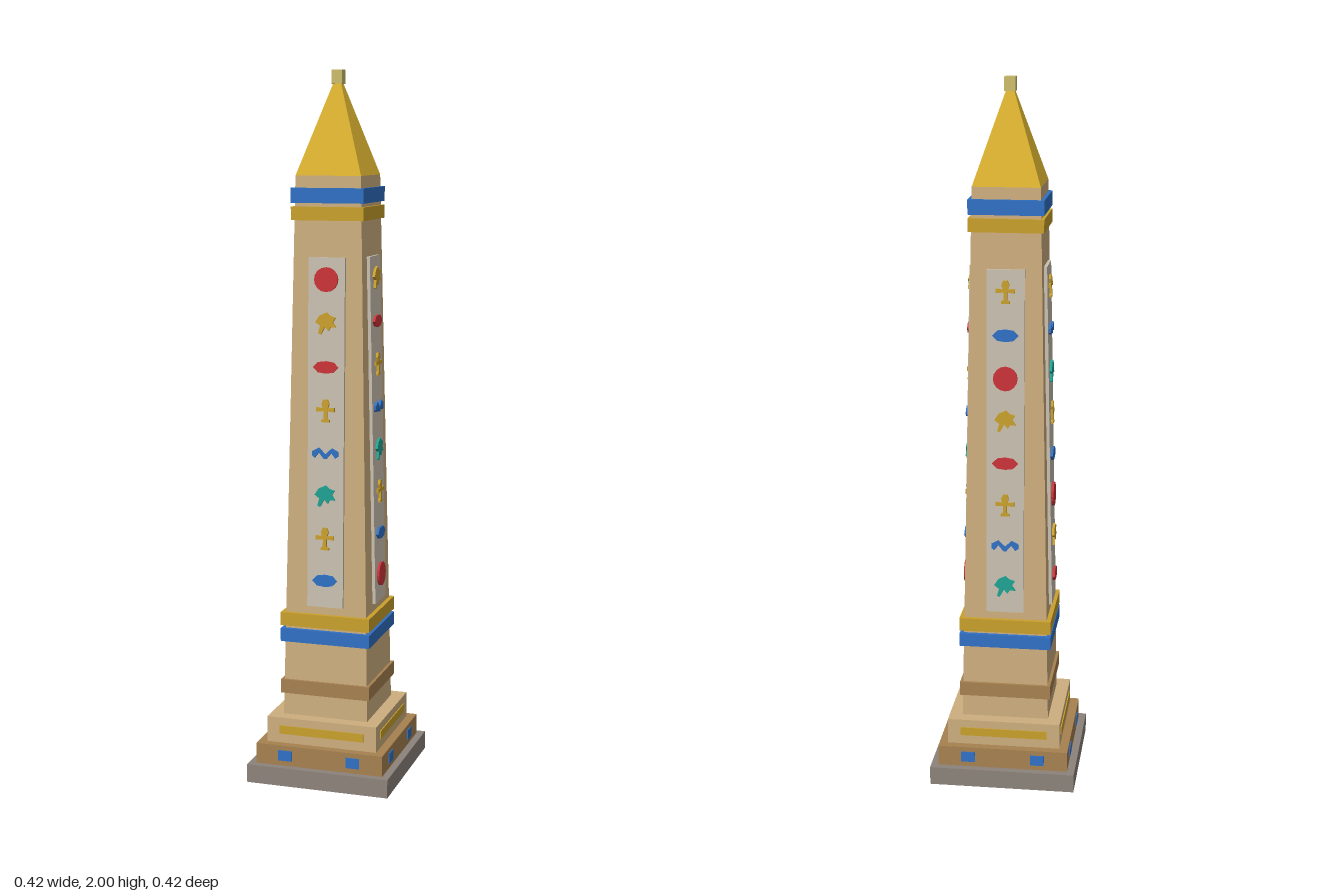
import * as THREE from 'three';

const mat = (name, color) => {
  const m = new THREE.MeshStandardMaterial({ color });
  m.name = name;
  return m;
};

export function createModel() {
  const M = {
    sandstone: mat('sandstone', 0xcdae7e),
    brown: mat('brown stone', 0xa68150),
    grey: mat('grey stone', 0x8c837b),
    panel: mat('pale panel', 0xc9c0b0),
    gold: mat('gold', 0xc9a02c),
    brightGold: mat('bright gold', 0xdab030),
    paleGold: mat('pale gold', 0xcbbd6c),
    blue: mat('blue', 0x2f70c4),
    red: mat('red', 0xc93338),
    teal: mat('teal', 0x1fa292),
  };
  const root = new THREE.Group();
  root.name = 'obelisk';

  const add = (parent, name, geo, material) => {
    const mesh = new THREE.Mesh(geo, material);
    mesh.name = name;
    parent.add(mesh);
    return mesh;
  };

  // Square block from y0 to y1
  const block = (name, half, y0, y1, material) => {
    add(root, name, new THREE.BoxGeometry(half * 2, y1 - y0, half * 2), material).position.y = (y0 + y1) / 2;
  };
  // Square tapered block
  const taper = (name, bottom, top, y0, y1, material) => {
    const g = new THREE.CylinderGeometry(top * Math.SQRT2, bottom * Math.SQRT2, y1 - y0, 4)
      .rotateY(Math.PI / 4).toNonIndexed();
    g.computeVertexNormals();
    add(root, name, g, material).position.y = (y0 + y1) / 2;
  };

  // Stepped base
  block('baseSlab', 0.208, 0, 0.053, M.grey);
  block('baseStep', 0.187, 0.053, 0.112, M.brown);
  block('plinth', 0.162, 0.112, 0.186, M.sandstone);

  // Shaft, bands and pointed cap
  const y0 = 0.186, y1 = 1.715, bottom = 0.1245, top = 0.0935;
  taper('shaft', bottom, top, y0, y1, M.sandstone);
  block('lowerCollar', 0.131, 0.25, 0.29, M.brown);
  block('lowerBlueBand', 0.131, 0.403, 0.441, M.blue);
  block('lowerGoldBand', 0.131, 0.45, 0.488, M.gold);
  block('upperGoldBand', 0.104, 1.594, 1.631, M.gold);
  block('upperBlueBand', 0.104, 1.641, 1.682, M.blue);
  taper('pyramidCap', 0.0935, 0.004, y1, 1.985, M.brightGold);
  block('tip', 0.0155, 1.962, 2, M.paleGold);

  // Glyph outlines, in thousandths of a unit
  const outline = (pts) => {
    const s = new THREE.Shape(pts.map(([x, y]) => new THREE.Vector2(x / 1000, y / 1000)));
    return new THREE.ExtrudeGeometry(s, { depth: 0.007, bevelEnabled: false });
  };
  const oval = (rx, ry, n) => outline(Array.from({ length: n }, (_, i) => {
    const a = (i / n) * Math.PI * 2;
    return [rx * Math.cos(a), ry * Math.sin(a)];
  }));
  const disc = oval(34, 34, 16);
  const eye = outline([[-36, 0], [-22, 14], [0, 17], [22, 14], [36, 0], [22, -14], [0, -17], [-22, -14]]);
  const bird = outline([[-30, 4], [-18, 22], [2, 31], [12, 22], [28, 17], [20, 4], [30, -10],
    [14, -9], [8, -20], [-2, -8], [-14, -30], [-22, -27], [-16, -6]]);
  const ankh = outline([[-5, -22], [-12, -26], [-12, -32], [12, -32], [12, -26], [5, -22], [5, -1],
    [26, -3], [26, 9], [7, 7], [11, 19], [6, 31], [-6, 31], [-11, 19], [-7, 7], [-26, 9], [-26, -3], [-5, -1]]);
  const wave = outline([[-38, 6], [-19, 16], [0, -2], [19, 16], [38, 6], [38, -6], [30, -12],
    [18, 3], [4, -14], [-4, -14], [-18, 3], [-30, -12], [-38, -6]]);
  const glyphs = [
    ['discGlyph', disc, M.red], ['birdGlyph', bird, M.gold], ['eyeGlyph', eye, M.red],
    ['ankhGlyph', ankh, M.gold], ['waveGlyph', wave, M.blue], ['birdGlyph', bird, M.teal],
    ['ankhGlyph', ankh, M.gold], ['eyeGlyph', eye, M.blue],
  ];

  // Four decorated sides; each starts the glyph sequence at a different place
  const slope = Math.atan((bottom - top) / (y1 - y0));
  const panelMid = 1.003;
  const faceAtMid = bottom - (bottom - top) * (panelMid - y0) / (y1 - y0);
  ['front', 'right', 'back', 'left'].forEach((sideName, k) => {
    const side = new THREE.Group();
    side.name = sideName + 'Decoration';
    side.rotation.y = k * Math.PI / 2;
    root.add(side);

    // Panel leaning with the shaft
    const inscription = new THREE.Group();
    inscription.name = 'inscription';
    inscription.position.set(0, panelMid, faceAtMid);
    inscription.rotation.x = -slope;
    side.add(inscription);
    add(inscription, 'panel', new THREE.BoxGeometry(0.105, 0.983, 0.009), M.panel).position.z = 0.0045;
    const start = [0, 1, 6, 3][k];
    for (let i = 0; i < 8; i++) {
      const [name, geo, material] = glyphs[(start + i) % 8];
      add(inscription, name, geo, material).position.set(0, 1.434 - i * 0.1207 - panelMid, 0.009);
    }

    // Inlays on the base
    add(side, 'goldInlay', new THREE.BoxGeometry(0.25, 0.024, 0.006), M.gold).position.set(0, 0.151, 0.162);
    for (const x of [-0.1, 0.1]) {
      add(side, 'blueInlay', new THREE.BoxGeometry(0.04, 0.03, 0.006), M.blue).position.set(x, 0.083, 0.187);
    }
  });

  return root;
}
